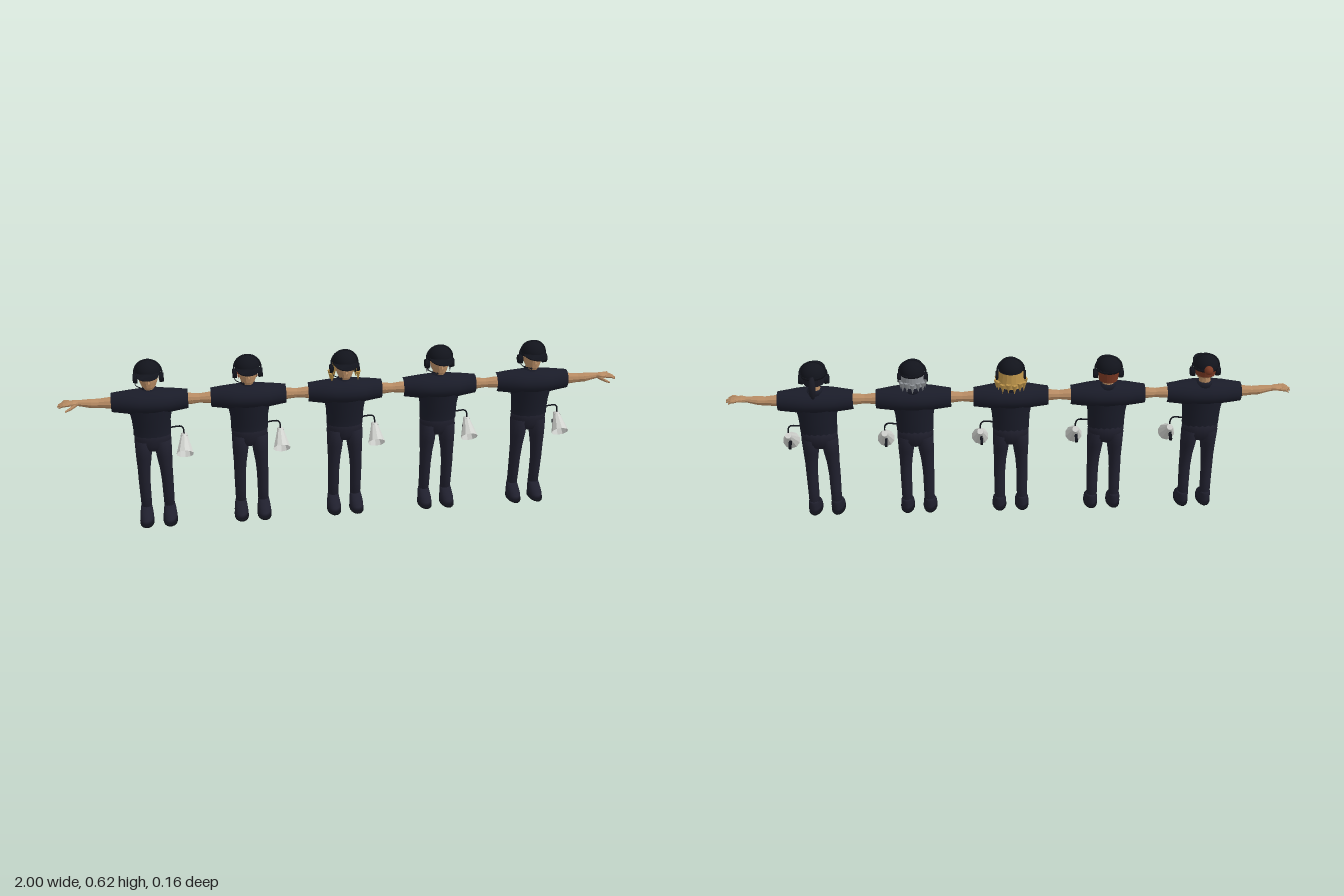
import * as THREE from 'three';

const mat = (name, color, extra = {}) => Object.assign(new THREE.MeshStandardMaterial({ color, ...extra }), { name });
const D = { side: THREE.DoubleSide };
const M = {
  shirt: mat('navy shirt', 0x1a1c29),
  pants: mat('dark trousers', 0x20202e),
  black: mat('black gear', 0x12141c, D),
  skin: mat('skin', 0xb88c64),
  white: mat('megaphone white', 0xd0d2ce, D),
  red: mat('auburn hair', 0x7c3a24, D),
  grey: mat('grey hair', 0x8e9297, D),
  blonde: mat('blonde hair', 0xbd944a, D),
  dark: mat('dark hair', 0x191a24, D),
};

// Elliptical cross-sections [t, c1, r1, c2, r2] along 'y' (1 = x, 2 = z) or along 'x' (1 = y, 2 = z)
function loft(sections, n, axis = 'y', capped = true, flat = false) {
  const rows = [...sections].sort((a, b) => a[0] - b[0]);
  const pos = [], idx = [];
  const put = (t, u, v) => (axis === 'y' ? pos.push(u, t, v) : pos.push(t, u, v));
  const dir = axis === 'y' ? 1 : -1;
  for (const [t, c1, r1, c2, r2] of rows) {
    for (let i = 0; i < n; i++) {
      const a = (i + 0.5) / n * Math.PI * 2;
      put(t, c1 + r1 * Math.cos(a), c2 + dir * r2 * Math.sin(a));
    }
  }
  for (let j = 0; j < rows.length - 1; j++) {
    for (let i = 0; i < n; i++) {
      const a = j * n + i, b = j * n + (i + 1) % n;
      idx.push(a, a + n, b, b, a + n, b + n);
    }
  }
  if (capped) {
    const last = rows.length - 1, k = rows.length * n;
    put(rows[0][0], rows[0][1], rows[0][3]);
    put(rows[last][0], rows[last][1], rows[last][3]);
    for (let i = 0; i < n; i++) {
      const j = (i + 1) % n;
      idx.push(k, i, j, k + 1, last * n + j, last * n + i);
    }
  }
  let g = new THREE.BufferGeometry();
  g.setAttribute('position', new THREE.Float32BufferAttribute(pos, 3));
  g.setIndex(idx);
  if (flat) g = g.toNonIndexed();
  g.computeVertexNormals();
  return g;
}

function add(group, name, geometry, material, x = 0, y = 0, z = 0) {
  const m = new THREE.Mesh(geometry, material);
  m.name = name;
  m.position.set(x, y, z);
  group.add(m);
  return m;
}

const tube = (pts, r, n = 12) => new THREE.TubeGeometry(
  new THREE.CatmullRomCurve3(pts.map(p => new THREE.Vector3(...p))), n, r, 6);

function addBody(g) {
  // shirt: trunk along y, chest and sleeves as one open tube along x
  add(g, 'shirtTrunk', loft([
    [0.343, 0, 0.066, -0.007, 0.044], [0.365, 0, 0.066, -0.007, 0.046],
    [0.40, 0, 0.068, -0.005, 0.051], [0.445, 0, 0.076, -0.003, 0.056]], 20, 'y', false), M.shirt);
  const half = [[0.035, 0.468, 0.044, -0.004, 0.056], [0.07, 0.468, 0.041, -0.005, 0.05],
    [0.10, 0.468, 0.038, -0.007, 0.041], [0.132, 0.468, 0.034, -0.008, 0.034]];
  add(g, 'shirtChestAndSleeves', loft([...half, [0, 0.468, 0.045, -0.004, 0.057],
    ...half.map(([t, ...r]) => [-t, ...r])], 18, 'x', false), M.shirt);
  add(g, 'collar', loft([[0.495, 0, 0.038, -0.012, 0.034], [0.517, 0, 0.024, -0.012, 0.024]], 14), M.shirt);
  // trousers
  add(g, 'hips', loft([[0.283, 0, 0.03, -0.008, 0.028], [0.305, 0, 0.06, -0.009, 0.039],
    [0.33, 0, 0.065, -0.010, 0.044], [0.36, 0, 0.062, -0.008, 0.042]], 18), M.pants);
  for (const s of [1, -1]) {
    const side = s > 0 ? 'left' : 'right';
    add(g, side + 'Leg', loft([
      [0.045, s * 0.041, 0.019, -0.019, 0.018], [0.10, s * 0.041, 0.020, -0.012, 0.019],
      [0.16, s * 0.041, 0.021, -0.006, 0.020], [0.21, s * 0.039, 0.023, -0.004, 0.024],
      [0.26, s * 0.036, 0.028, -0.004, 0.030], [0.32, s * 0.034, 0.031, -0.009, 0.042]], 14), M.pants);
    // shoes
    add(g, side + 'Sole', loft([[0, s * 0.042, 0.026, 0.009, 0.052], [0.009, s * 0.042, 0.026, 0.009, 0.052]], 16), M.black);
    add(g, side + 'Shoe', loft([[0.009, s * 0.042, 0.025, 0.009, 0.050], [0.022, s * 0.042, 0.025, 0.006, 0.047],
      [0.036, s * 0.042, 0.023, -0.006, 0.035], [0.047, s * 0.042, 0.021, -0.015, 0.024],
      [0.054, s * 0.042, 0.019, -0.019, 0.018]], 16), M.pants);
    addArm(g, s, side);
  }
}

function addArm(g, s, side) {
  add(g, side + 'Arm', loft([
    [s * 0.10, 0.468, 0.022, -0.006, 0.021], [s * 0.14, 0.468, 0.020, -0.006, 0.019],
    [s * 0.175, 0.468, 0.016, -0.006, 0.017], [s * 0.20, 0.469, 0.016, -0.005, 0.018],
    [s * 0.245, 0.474, 0.010, -0.003, 0.012]], 10, 'x', true, true), M.skin);
  add(g, side + 'Palm', loft([
    [s * 0.243, 0.474, 0.010, -0.003, 0.012], [s * 0.26, 0.475, 0.010, -0.001, 0.019],
    [s * 0.282, 0.474, 0.008, -0.002, 0.021]], 8, 'x', true, true), M.skin);
  for (let i = 0; i < 4; i++) {
    const z = 0.014 - i * 0.0105, tip = [0.309, 0.315, 0.313, 0.303][i];
    add(g, side + 'Finger', loft([
      [s * 0.276, 0.475, 0.006, z, 0.0055], [s * 0.294, 0.475, 0.0055, z * 1.25, 0.005],
      [s * tip, 0.468, 0.003, z * 1.4, 0.003]], 6, 'x', true, true), M.skin);
  }
  add(g, side + 'Thumb', loft([
    [s * 0.25, 0.471, 0.007, 0.006, 0.006], [s * 0.27, 0.464, 0.006, 0.024, 0.006],
    [s * 0.287, 0.458, 0.003, 0.032, 0.003]], 6, 'x', true, true), M.skin);
}

function addHead(g) {
  add(g, 'neck', loft([[0.495, 0, 0.021, -0.014, 0.02], [0.545, 0, 0.020, -0.014, 0.02]], 10, 'y', true, true), M.skin);
  add(g, 'face', loft([[0.517, 0, 0.014, 0.010, 0.011], [0.526, 0, 0.024, 0.000, 0.025],
    [0.545, 0, 0.032, -0.008, 0.036], [0.568, 0, 0.035, -0.010, 0.040], [0.59, 0, 0.034, -0.011, 0.039]], 12, 'y', true, true), M.skin);
  const nose = add(g, 'nose', new THREE.ConeGeometry(0.007, 0.02, 4).toNonIndexed(), M.skin, 0, 0.553, 0.028);
  nose.geometry.computeVertexNormals();

  // cap: dome and curved brim
  const dome = add(g, 'capDome', new THREE.SphereGeometry(1, 20, 8, 0, Math.PI * 2, 0, Math.PI / 2), M.black, 0, 0.576, -0.010);
  dome.scale.set(0.044, 0.042, 0.046);
  add(g, 'capBand', loft([[0.568, 0, 0.043, -0.012, 0.043], [0.578, 0, 0.044, -0.010, 0.046]], 20), M.black);
  const shape = new THREE.Shape();
  shape.moveTo(-0.04, 0.005);
  shape.bezierCurveTo(-0.038, 0.105, 0.038, 0.105, 0.04, 0.005);
  shape.quadraticCurveTo(0, 0.05, -0.04, 0.005);
  const brim = new THREE.ExtrudeGeometry(shape, { depth: 0.003, bevelEnabled: false, curveSegments: 12 });
  brim.rotateX(Math.PI / 2);
  const p = brim.attributes.position;
  for (let i = 0; i < p.count; i++) p.setY(i, p.getY(i) - p.getX(i) ** 2 * 4 - p.getZ(i) * 0.1);
  brim.computeVertexNormals();
  add(g, 'capBrim', brim, M.black, 0, 0.585, 0.003);

  // headset with boom microphone
  add(g, 'headsetBand', new THREE.TorusGeometry(0.047, 0.003, 6, 24, Math.PI), M.black, 0, 0.572, -0.010);
  for (const s of [1, -1]) {
    add(g, 'headsetArm', new THREE.CylinderGeometry(0.003, 0.003, 0.02, 6), M.black, s * 0.047, 0.565, -0.010);
    const cup = add(g, 'earCup', new THREE.CylinderGeometry(0.016, 0.018, 0.015, 14), M.black, s * 0.045, 0.552, -0.010);
    cup.rotation.z = -s * Math.PI / 2;
  }
  add(g, 'microphoneBoom', tube([[-0.047, 0.543, -0.008], [-0.043, 0.535, 0.015], [-0.018, 0.533, 0.044]], 0.0015), M.black);
  add(g, 'microphone', new THREE.SphereGeometry(0.004, 8, 6), M.black, -0.018, 0.533, 0.045);
}

function addMegaphone(g) {
  // horn tips forward and down beside the left hip
  const horn = new THREE.Group();
  horn.name = 'megaphone';
  horn.position.set(0.11, 0.302, 0.014);
  horn.rotation.x = -0.83;
  g.add(horn);
  const cone = new THREE.CylinderGeometry(0.013, 0.031, 0.068, 10, 1, true).toNonIndexed();
  cone.computeVertexNormals();
  add(horn, 'horn', cone, M.white, 0, -0.003, 0);
  add(horn, 'hornBack', new THREE.CylinderGeometry(0.011, 0.014, 0.012, 10), M.white, 0, 0.036, 0);
  add(horn, 'hornCore', new THREE.CylinderGeometry(0.006, 0.009, 0.04, 8), M.white, 0, 0.008, 0);
  const grip = add(horn, 'grip', new THREE.BoxGeometry(0.009, 0.013, 0.032), M.black, -0.004, 0.02, -0.028);
  grip.rotation.x = 0.3;
  add(g, 'megaphoneStrap', tube([[0.06, 0.362, -0.005], [0.10, 0.364, -0.006], [0.108, 0.355, -0.008], [0.11, 0.325, -0.006]], 0.0028, 16), M.black);
}

// Hair shell around the back of the head, ending in tapered locks
function addHair(g, m, { bottom, rTop = 0.04, rBot = 0.042, arc = 3.2, locks = 0 }) {
  const h = 0.575 - bottom, cz = -0.014;
  const shell = new THREE.CylinderGeometry(rTop, rBot, h, 12, 1, true, Math.PI - arc / 2, arc).toNonIndexed();
  shell.computeVertexNormals();
  add(g, 'backHair', shell, m, 0, bottom + h / 2, cz);
  for (let i = 0; i < locks; i++) {
    const a = Math.PI + arc * ((i + 0.5) / locks - 0.5);
    const lock = add(g, 'hairLock', new THREE.ConeGeometry(0.010, 0.036, 5), m,
      Math.sin(a) * rBot, bottom + 0.002 - (i % 2) * 0.004, cz + Math.cos(a) * rBot);
    lock.rotation.x = Math.PI;
  }
}

const hairStyles = [
  g => {
    addHair(g, M.red, { bottom: 0.545, rBot: 0.034 });
    add(g, 'hairBun', new THREE.IcosahedronGeometry(0.016, 1), M.red, 0, 0.581, -0.063);
  },
  g => addHair(g, M.red, { bottom: 0.53, rBot: 0.033 }),
  g => addHair(g, M.blonde, { bottom: 0.522, rTop: 0.043, rBot: 0.05, arc: 4.3, locks: 10 }),
  g => addHair(g, M.grey, { bottom: 0.53, rBot: 0.043, arc: 3.3, locks: 7 }),
  g => {
    addHair(g, M.dark, { bottom: 0.54, rBot: 0.035 });
    add(g, 'ponytail', loft([[0.505, 0, 0.004, -0.068, 0.004], [0.522, 0, 0.011, -0.072, 0.009],
      [0.548, 0, 0.013, -0.070, 0.011], [0.57, 0, 0.011, -0.064, 0.012], [0.583, 0, 0.006, -0.058, 0.008]], 8), M.dark);
  },
];

export function createModel() {
  const model = new THREE.Group();
  model.name = 'crewLine';
  hairStyles.forEach((style, i) => {
    const g = new THREE.Group();
    g.name = 'crewMember' + (i + 1);
    g.position.x = (i - 2) * 0.3425;
    addBody(g);
    addHead(g);
    addMegaphone(g);
    style(g);
    model.add(g);
  });
  return model;
}
